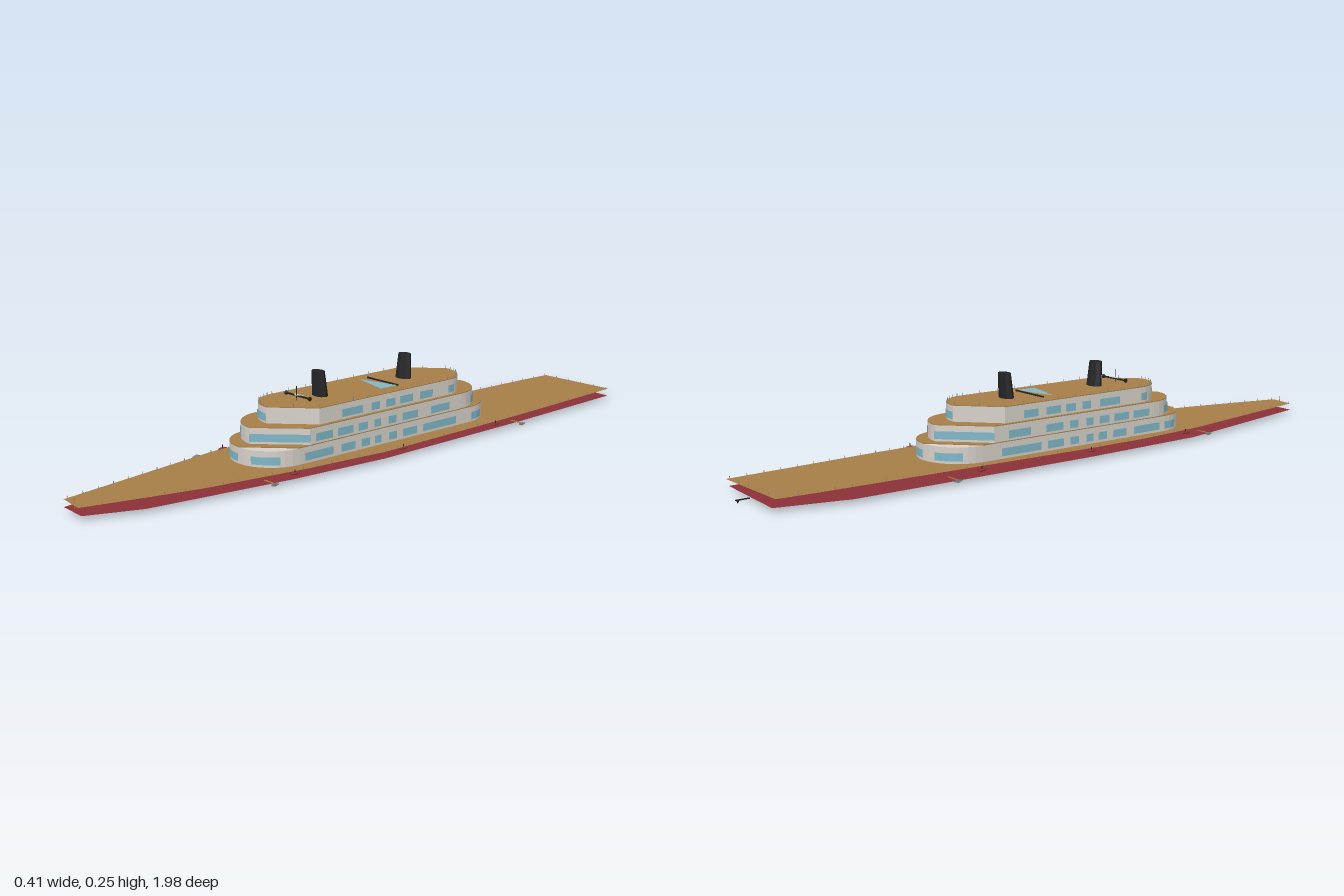
import * as THREE from 'three';

const mat = (name, color, side = THREE.FrontSide) => {
  const m = new THREE.MeshStandardMaterial({ color, side });
  m.name = name;
  return m;
};

export function createModel() {
  const ship = new THREE.Group();
  ship.name = 'ship';
  const wood = mat('deckWood', 0xa57d47, THREE.DoubleSide);
  const red = mat('hullRed', 0x8b2f38, THREE.DoubleSide);
  const white = mat('wallWhite', 0xd6d0c8);
  const glass = mat('windowBlue', 0x7fb6c6, THREE.DoubleSide);
  const black = mat('funnelBlack', 0x242426);
  const grey = mat('metalGrey', 0x85898a);
  const gold = mat('fittingGold', 0xa8853f);

  const add = (name, geo, m, x = 0, y = 0, z = 0, parent = ship) => {
    const mesh = new THREE.Mesh(geo, m);
    mesh.name = name;
    mesh.position.set(x, y, z);
    parent.add(mesh);
    return mesh;
  };
  const toShape = pts => new THREE.Shape(pts.map(([x, z]) => new THREE.Vector2(x, -z)));
  const flat = pts => new THREE.ShapeGeometry(toShape(pts)).rotateX(-Math.PI / 2);
  const slab = (pts, h) =>
    new THREE.ExtrudeGeometry(toShape(pts), { depth: h, bevelEnabled: false }).rotateX(-Math.PI / 2);

  // Open vertical strip following a plan path
  const strip = (pts, y0, y1) => {
    const v = [];
    for (let i = 0; i < pts.length - 1; i++) {
      const [a, b] = [pts[i], pts[i + 1]];
      const q = (p, y) => [p[0], y, p[1]];
      v.push(...q(a, y0), ...q(a, y1), ...q(b, y1), ...q(a, y0), ...q(b, y1), ...q(b, y0));
    }
    const g = new THREE.BufferGeometry();
    g.setAttribute('position', new THREE.Float32BufferAttribute(v, 3));
    g.computeVertexNormals();
    return g;
  };

  // Hull bottom and main deck
  const keelLine = [[0.04, 0.97], [0.1, 0.82], [0.125, 0.63], [0.155, 0.4], [0.178, 0.08], [0.163, -0.5],
    [0.14, -0.95], [-0.13, -0.965], [-0.178, -0.76], [-0.18, 0], [-0.165, 0.42], [-0.05, 0.965]];
  const deckLine = [[0.035, 0.975], [0.075, 0.82], [0.115, 0.65], [0.158, 0.36], [0.183, 0.08], [0.163, -0.5],
    [0.135, -0.96], [-0.13, -0.955], [-0.137, -0.85], [-0.148, -0.5], [-0.165, 0], [-0.163, 0.22],
    [-0.142, 0.45], [-0.05, 0.965]];
  add('hullBottom', flat(keelLine), red, 0, 0.012);
  add('mainDeck', flat(deckLine), wood, 0, 0.033);

  // One corner of a cabin tier: t = 0 at the side, 1 at the centreline
  const corner = (T, sx, sz, t, chamfer, grow = 0) => {
    const a = t * Math.PI / 2;
    const c = chamfer ? 1 - t : Math.cos(a), s = chamfer ? t : Math.sin(a);
    const zc = sz > 0 ? T.zf : T.zb;
    return [sx * (T.w + grow) * c, sz * (zc + (T.r + grow) * s)];
  };
  const cornerPath = (T, sx, sz, t0, t1, chamfer, grow) => {
    const n = chamfer ? 1 : Math.max(2, Math.round((t1 - t0) * 8));
    return Array.from({ length: n + 1 }, (_, i) => corner(T, sx, sz, t0 + (t1 - t0) * i / n, chamfer, grow));
  };
  // Corners on the diagonal (+x+z and -x-z) may be straight cuts
  const outline = (T, cut) => [
    ...cornerPath(T, 1, 1, 0, 1, cut), ...cornerPath(T, -1, 1, 0, 1, false).reverse().slice(1),
    ...cornerPath(T, -1, -1, 0, 1, cut), ...cornerPath(T, 1, -1, 0, 1, false).reverse().slice(1, -1),
    corner(T, 1, -1, 0, false)];

  const tiers = [
    { name: 'lowerTier', w: 0.119, zf: 0.34, zb: 0.325, r: 0.114, y: 0.033, cut: false,
      side: [[0.32, 0.22], [0.19, 0.14], [0.115, 0.085], [0.065, 0.04], [0.01, -0.02], [-0.045, -0.1], [-0.125, -0.26]],
      cutWin: [[0.32, 0.76]], arcWin: [[0, 0.28], [0.61, 1]] },
    { name: 'middleTier', w: 0.117, zf: 0.3, zb: 0.285, r: 0.116, y: 0.08, cut: true,
      side: [[0.28, 0.22], [0.2, 0.145], [0.125, 0.09], [0.065, 0.04], [0.01, -0.02], [-0.045, -0.105], [-0.16, -0.235]],
      cutWin: [[0, 1]], arcWin: [[0.26, 0.74]] },
    { name: 'upperTier', w: 0.106, zf: 0.257, zb: 0.24, r: 0.1, y: 0.127, cut: true,
      side: [[0.175, 0.1], [0.065, 0.035], [0.01, -0.025], [-0.045, -0.095], [-0.125, -0.175]],
      cutWin: [], arcWin: [[0, 0.16], [0.61, 1]] }];

  for (const T of tiers) {
    const g = new THREE.Group();
    g.name = T.name;
    ship.add(g);
    add('walls', slab(outline(T, T.cut), 0.046), white, 0, T.y, 0, g);
    add('roofDeck', slab(outline(T, true), 0.002), wood, 0, T.y + 0.046, 0, g);
    const y0 = T.y + 0.0075, y1 = T.y + 0.0295;
    for (const s of [1, -1]) {
      for (const [a, b] of T.side)
        add('sideWindow', new THREE.BoxGeometry(0.003, y1 - y0, a - b), glass, s * T.w, (y0 + y1) / 2, (a + b) / 2, g);
      for (const [a, b] of T.cutWin)
        add('endWindow', strip(cornerPath(T, s, s, a, b, T.cut, 0.0025), y0, y1), glass, 0, 0, 0, g);
      for (const [a, b] of T.arcWin)
        add('endWindow', strip(cornerPath(T, -s, s, a, b, false, 0.0025), y0, y1), glass, 0, 0, 0, g);
    }
  }

  // Funnels
  for (const [z, lean] of [[0.165, 0.006], [-0.158, -0.006]]) {
    const geo = new THREE.CylinderGeometry(0.023, 0.028, 0.073, 8).toNonIndexed();
    const p = geo.attributes.position;
    for (let i = 0; i < p.count; i++)
      p.setZ(i, p.getZ(i) * 0.65 + lean * (p.getY(i) / 0.073 + 0.5));
    geo.computeVertexNormals();
    add('funnel', geo, black, 0, 0.211, z);
  }

  // Roof pool: wedge of water with a dark rim
  add('poolWater', flat([[-0.065, -0.04], [0.065, -0.072], [0.065, -0.008]]), glass, 0, 0.1775, 0);
  add('poolRim', new THREE.BoxGeometry(0.13, 0.004, 0.004), black, 0, 0.177, -0.075);

  // Horn bar and mast on the roof
  add('hornBar', new THREE.BoxGeometry(0.075, 0.004, 0.005), black, 0, 0.187, 0.245);
  add('mast', new THREE.CylinderGeometry(0.0012, 0.0012, 0.04, 5), black, 0, 0.195, 0.25);
  add('roofMarker', flat([[-0.022, 0.24], [0.022, 0.24], [0, 0.257]]), white, 0, 0.19, 0);
  for (const s of [1, -1])
    add('horn', new THREE.ConeGeometry(0.007, 0.018, 6).rotateZ(s * Math.PI / 2), black, s * 0.043, 0.187, 0.245);

  // Small boats on the sides, with outrigger lamps
  for (const s of [1, -1]) {
    for (const z of [0.39, 0.01, -0.37]) {
      const x = s * (z > 0.2 ? 0.16 : 0.178);
      add('boat', new THREE.SphereGeometry(0.005, 8, 6).scale(1.2, 0.7, 3.2), red, x, 0.029, z);
      add('boatHook', new THREE.BoxGeometry(0.002, 0.01, 0.002), black, x, 0.035, z);
    }
    for (const [x, z] of [[0.17, 0.47], [0.197, -0.463]]) {
      add('outriggerCone', new THREE.ConeGeometry(0.015, 0.036, 4).scale(1, 0.35, 1)
        .rotateZ(s * Math.PI / 2).scale(1, 0.35, 1), grey, s * x, 0.018, z);
      add('outriggerArm', new THREE.BoxGeometry(0.04, 0.002, 0.003), gold, s * (x - 0.02), 0.02, z);
    }
  }

  // Railing posts along the deck edge and the top roof
  const posts = (name, pts, y, h, step) => {
    pts.forEach((a, i) => {
      const b = pts[(i + 1) % pts.length];
      const n = Math.max(1, Math.round(Math.hypot(b[0] - a[0], b[1] - a[1]) / step));
      for (let k = 0; k < n; k++)
        add(name, new THREE.BoxGeometry(0.0012, h, 0.0012), grey,
          (a[0] + (b[0] - a[0]) * k / n) * 0.98, y + h / 2, (a[1] + (b[1] - a[1]) * k / n) * 0.99);
    });
  };
  posts('deckPost', deckLine, 0.033, 0.007, 0.05);
  posts('roofPost', outline(tiers[2], true), 0.175, 0.008, 0.06);

  // Bow staff, stern staff and rudder fin
  add('bowStaff', new THREE.CylinderGeometry(0.001, 0.001, 0.03, 5), gold, 0, 0.035, 0.965);
  add('sternArm', new THREE.BoxGeometry(0.003, 0.003, 0.04), black, 0, 0.01, -0.98);
  add('rudderFin', new THREE.ConeGeometry(0.005, 0.01, 6).rotateX(Math.PI), black, 0, 0.005, -0.993);
  return ship;
}
